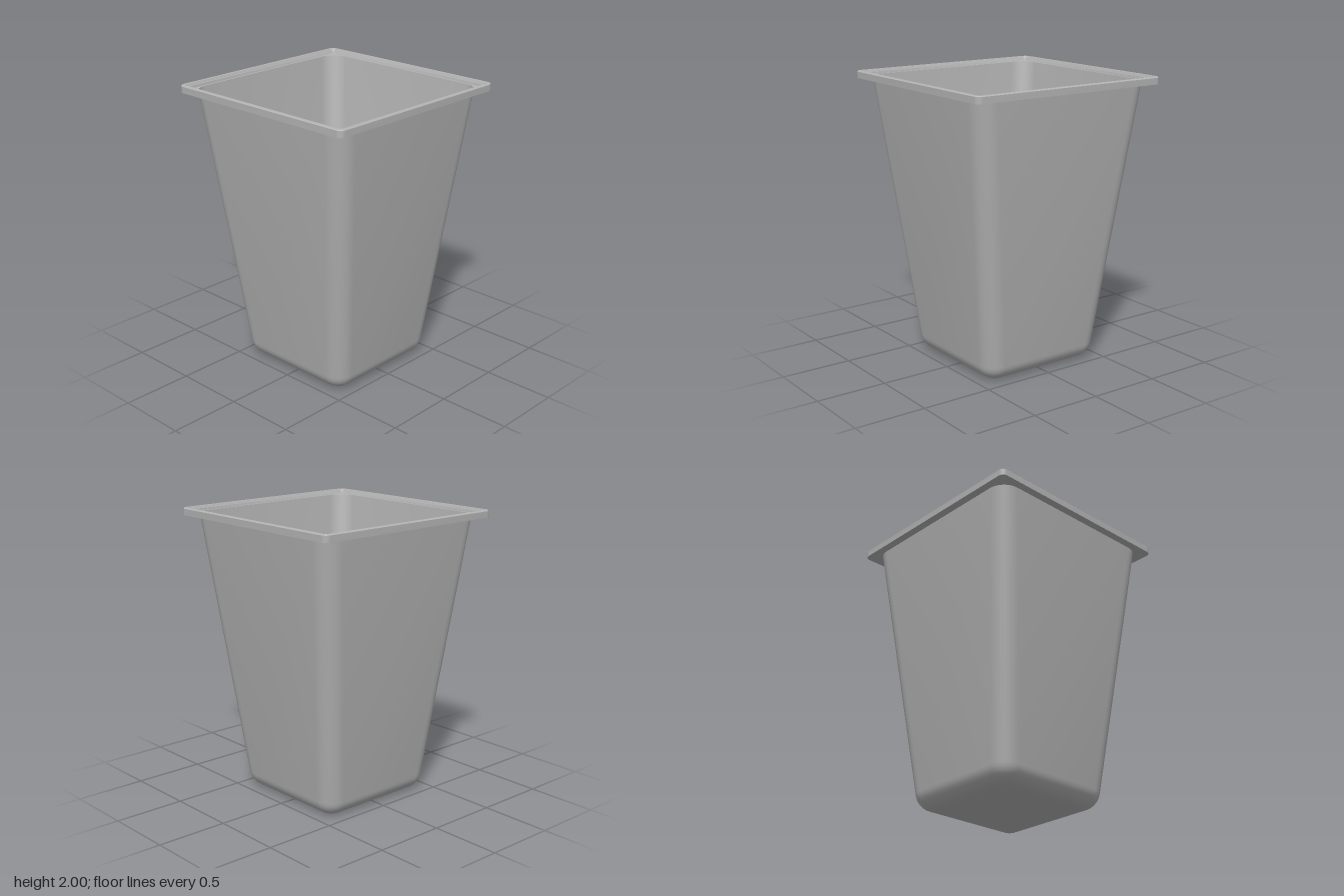
import * as THREE from 'three';
import { toCreasedNormals } from 'three/addons/utils/BufferGeometryUtils.js';

const SEG = 8; // segments per rounded corner

// Rounded square outline: half width h, corner radius r, at height y
function ring([h, y, r]) {
  const pts = [];
  for (let q = 0; q < 4; q++) {
    const mid = (q + 0.5) * Math.PI / 2;
    const cx = Math.sign(Math.cos(mid)) * (h - r);
    const cz = Math.sign(Math.sin(mid)) * (h - r);
    for (let i = 0; i <= SEG; i++) {
      const a = (q + i / SEG) * Math.PI / 2;
      pts.push(cx + r * Math.cos(a), y, cz + r * Math.sin(a));
    }
  }
  return pts;
}

// Skin a list of [half, y, radius] sections
function loft(sections) {
  const n = 4 * (SEG + 1), index = [];
  for (let i = 0; i < sections.length - 1; i++) {
    for (let j = 0; j < n; j++) {
      const a = i * n + j, b = i * n + (j + 1) % n;
      index.push(a, a + n, b, b, a + n, b + n);
    }
  }
  const g = new THREE.BufferGeometry();
  g.setAttribute('position', new THREE.Float32BufferAttribute(sections.flatMap(ring), 3));
  g.setIndex(index);
  return toCreasedNormals(g, 0.5);
}

// Tapered wall with a filleted base, listed from the floor centre upward
function bucket(floorY, baseHalf, topHalf, topY, fillet) {
  const out = [[0, floorY, 0]];
  for (let i = 0; i <= 8; i++) {
    const a = i / 8 * 1.45; // stops where the fillet meets the sloping wall
    const s = fillet * Math.sin(a);
    out.push([baseHalf - fillet + s, floorY + fillet * (1 - Math.cos(a)), s]);
  }
  out.push([topHalf, topY, fillet]);
  return out;
}

export function createModel() {
  const group = new THREE.Group();
  const grey = new THREE.MeshStandardMaterial({ color: 0xb4b4b4 });
  grey.name = 'grey plastic';
  const add = (name, sections) => {
    const mesh = new THREE.Mesh(loft(sections), grey);
    mesh.name = name;
    group.add(mesh);
  };

  // Outer shell
  add('outerWall', bucket(0, 0.472, 0.685, 1.95, 0.13));

  // Cavity, listed downward so that it faces inward
  add('innerWall', bucket(0.012, 0.462, 0.683, 1.97, 0.122).reverse());

  // Overhanging rim with a stepped inner ledge
  add('rim', [
    [0.685, 1.95, 0.13],
    [0.74, 1.95, 0.04],
    [0.74, 1.994, 0.04],
    [0.734, 2.0, 0.035],
    [0.715, 2.0, 0.025],
    [0.708, 1.985, 0.02],
    [0.7, 1.985, 0.02],
    [0.695, 1.97, 0.015],
    [0.683, 1.97, 0.122],
  ]);
  return group;
}
